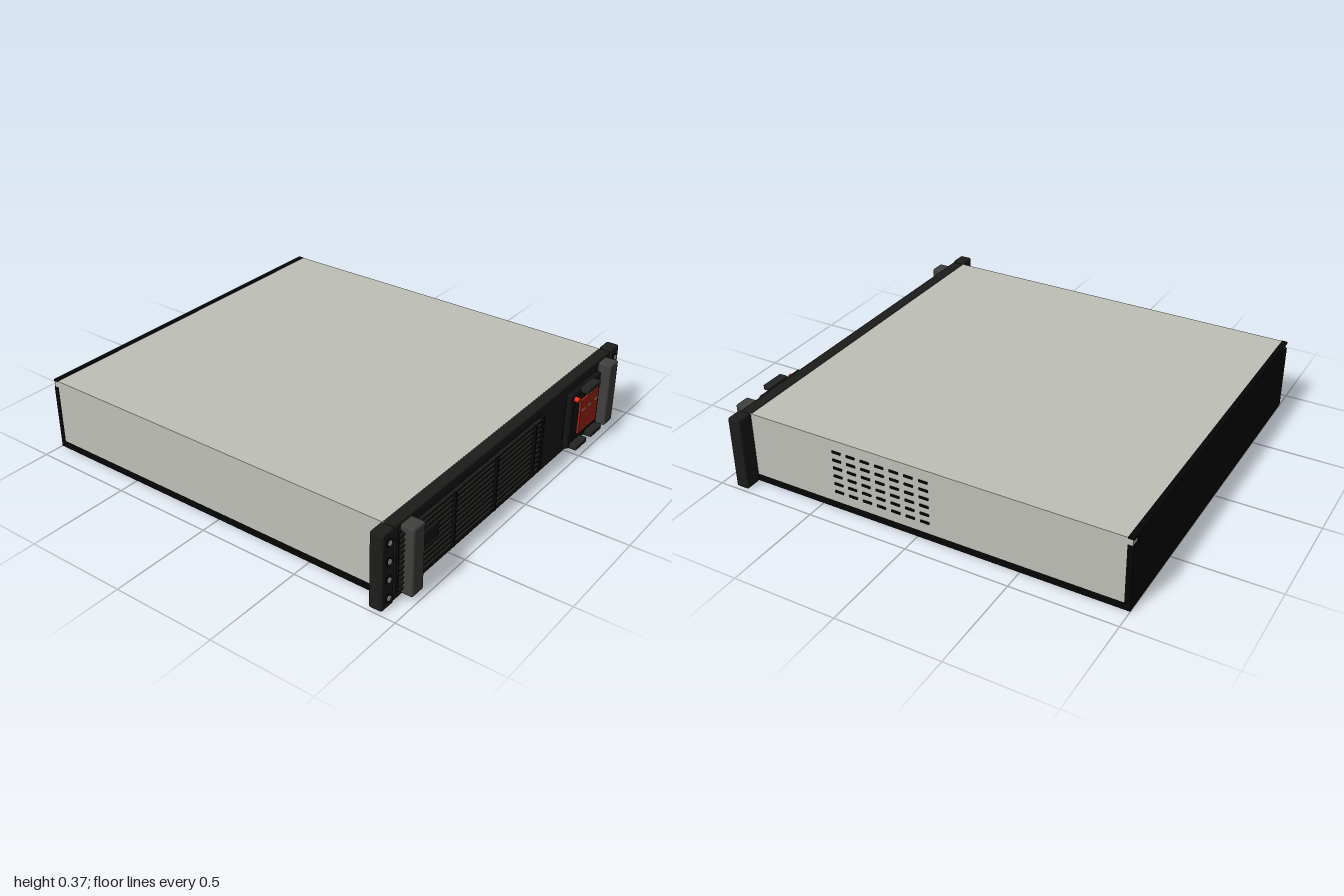
import * as THREE from 'three';
import { RoundedBoxGeometry } from 'three/addons/geometries/RoundedBoxGeometry.js';

const mat = (color) => new THREE.MeshStandardMaterial({ color });
const M = {
  panel: mat(0xbfc0b8), black: mat(0x050505), plate: mat(0x1c1c1a), slat: mat(0x0c0c0c),
  bezel: mat(0x141414), handle: mat(0x40403e), key: mat(0x242424), red: mat(0xa82818),
  led: mat(0xe83210), mark: mat(0xe0a898), steel: mat(0xcccccc),
};

export function createModel() {
  const root = new THREE.Group();

  const add = (name, geometry, material, x, y, z, parent = root) => {
    const mesh = new THREE.Mesh(geometry, material);
    mesh.name = name;
    mesh.position.set(x, y, z);
    parent.add(mesh);
    return mesh;
  };
  // Box given by its limits on each axis, with an optional edge radius
  const box = (name, material, [x0, x1], [y0, y1], [z0, z1], radius = 0, parent = root) => {
    const size = [x1 - x0, y1 - y0, z1 - z0];
    const geometry = radius ? new RoundedBoxGeometry(...size, 2, radius) : new THREE.BoxGeometry(...size);
    return add(name, geometry, material, (x0 + x1) / 2, (y0 + y1) / 2, (z0 + z1) / 2, parent);
  };
  // Short round part facing forward
  const disc = (name, material, radius, depth, x, y, z, parent = root) => {
    const mesh = add(name, new THREE.CylinderGeometry(radius, radius, depth, 20), material, x, y, z, parent);
    mesh.rotation.x = Math.PI / 2;
    return mesh;
  };
  const group = (name) => {
    const g = new THREE.Group();
    g.name = name;
    root.add(g);
    return g;
  };

  // Chassis: dark tray and back, light cover
  box('baseTray', M.black, [-0.9, 0.9], [0, 0.036], [-1, 0.87]);
  box('cover', M.panel, [-0.9, 0.9], [0.036, 0.358], [-0.972, 0.87]);
  box('backPanel', M.black, [-0.9, 0.9], [0.036, 0.325], [-1, -0.972]);
  box('backTopEdge', M.black, [-0.86, 0.86], [0.325, 0.36], [-1, -0.972]);
  for (const s of [-1, 1]) {
    const xs = s < 0 ? [-0.9, -0.86] : [0.86, 0.9];
    box('coverCorner', M.panel, xs, [0.325, 0.352], [-0.995, -0.972]);
    box('backCornerEdge', M.black, xs, [0.352, 0.36], [-1, -0.972]);
  }

  // Cooling slots in the left side
  const sideVents = group('sideVents');
  for (let row = 0; row < 6; row++) {
    for (let col = 0; col < 7; col++) {
      const y = 0.092 + row * 0.0415, z = 0.402 - col * 0.074;
      box('sideSlot', M.black, [0.89, 0.906], [y - 0.005, y + 0.005], [z - 0.022, z + 0.022], 0, sideVents);
    }
  }

  // Front plate with rack ears, handles and screws
  box('frontPlate', M.plate, [-0.898, 0.898], [0, 0.362], [0.86, 0.92], 0.008);
  for (const s of [-1, 1]) {
    const span = (a, b) => (s > 0 ? [a, b] : [-b, -a]);
    box('rackEar', M.plate, span(0.902, 0.985), [0, 0.365], [0.86, 0.925], 0.01);
    box('earJoint', M.black, span(0.89, 0.91), [0.006, 0.356], [0.865, 0.915]);
    box('handle', M.handle, span(0.782, 0.862), [0.022, 0.35], [0.9, 0.985], 0.01);
    for (const y of [0.05, 0.138, 0.226, 0.314]) {
      disc('screwCollar', M.black, 0.019, 0.006, s * 0.943, y, 0.926);
      disc('screwHead', M.steel, 0.012, 0.01, s * 0.943, y, 0.928);
    }
  }

  // Louvred air intake
  const grille = group('frontGrille');
  box('grilleBacking', M.slat, [-0.885, 0.23], [0.045, 0.325], [0.915, 0.929], 0, grille);
  for (let i = 0; i < 11; i++) {
    const y = 0.056 + i * 0.0258;
    const slat = box('grilleSlat', M.plate, [-0.88, 0.225], [y - 0.007, y + 0.007], [0.925, 0.942], 0, grille);
    slat.rotation.x = 0.25;
  }
  for (const x of [-0.835, -0.51, -0.185, 0.14]) {
    box('grilleRib', M.slat, [x - 0.006, x + 0.006], [0.05, 0.32], [0.925, 0.952], 0, grille);
  }
  box('grilleEnd', M.slat, [0.205, 0.23], [0.045, 0.325], [0.92, 0.942], 0, grille);
  box('badgePlate', M.bezel, [-0.785, -0.64], [0.188, 0.258], [0.935, 0.957], 0.004, grille);

  // Control display
  const display = group('controlDisplay');
  box('displayMount', M.bezel, [0.47, 0.71], [0.07, 0.31], [0.91, 0.935], 0, display);
  box('displayBezel', M.bezel, [0.442, 0.737], [0.045, 0.335], [0.93, 0.962], 0.012, display);
  box('displayFrame', M.slat, [0.482, 0.698], [0.085, 0.305], [0.955, 0.972], 0.006, display);
  box('screen', M.red, [0.502, 0.678], [0.112, 0.287], [0.965, 0.982], 0, display);
  for (const x of [0.528, 0.592, 0.655]) {
    box('screenBar', M.mark, [x - 0.018, x + 0.018], [0.23, 0.238], [0.98, 0.984], 0, display);
  }
  box('topKey', M.key, [0.528, 0.652], [0.314, 0.34], [0.955, 1], 0.005, display);
  box('lowerKeyRight', M.key, [0.46, 0.565], [0.046, 0.072], [0.955, 1], 0.005, display);
  box('lowerKeyLeft', M.key, [0.61, 0.715], [0.046, 0.072], [0.955, 1], 0.005, display);
  disc('statusLight', M.led, 0.013, 0.03, 0.478, 0.303, 0.97, display);

  return root;
}
